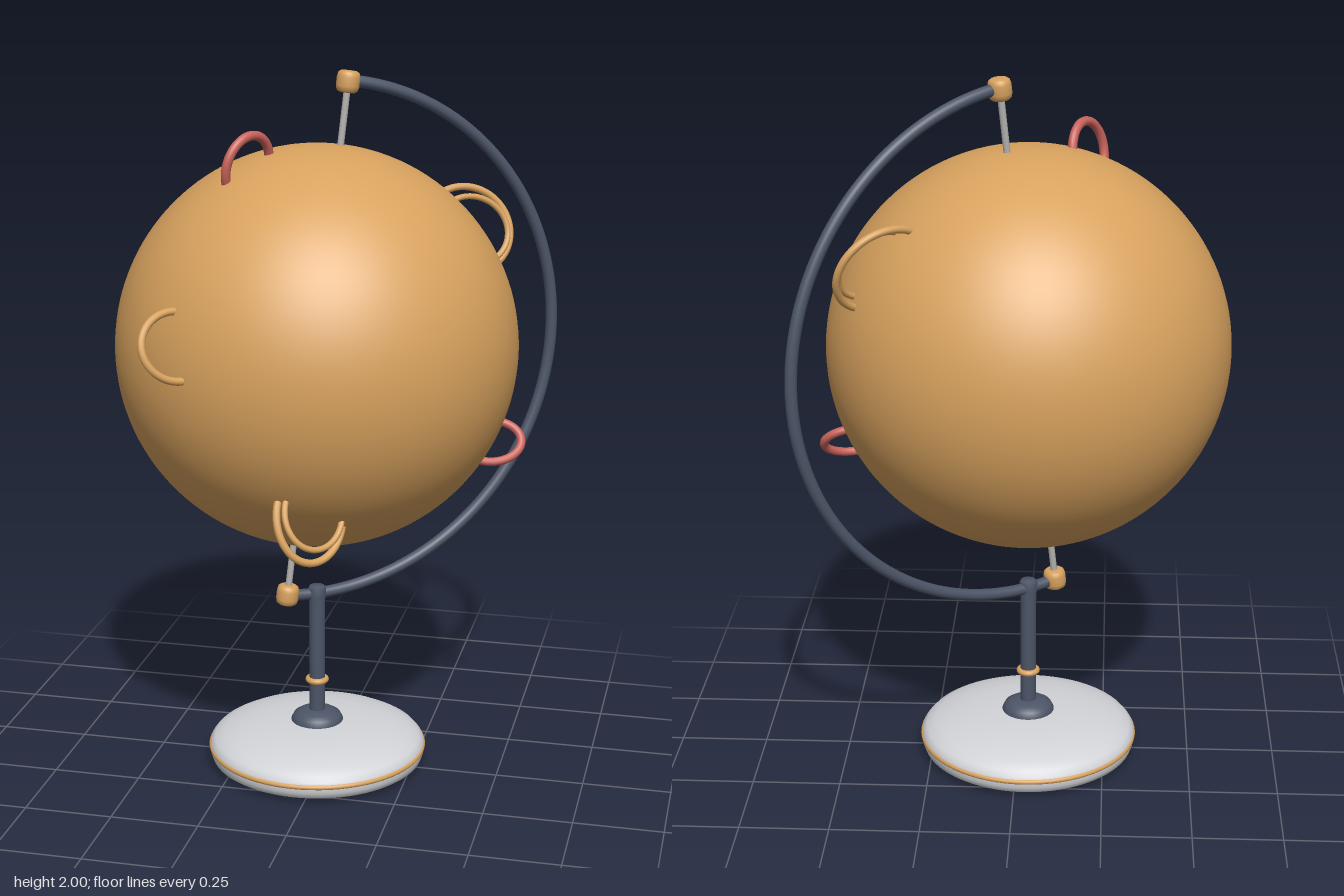
import * as THREE from 'three';

const mat = (name, color) => {
  const m = new THREE.MeshStandardMaterial({ color });
  m.name = name;
  return m;
};
const V = (x, y, z) => new THREE.Vector3(x, y, z);

export function createModel() {
  const gold = mat('gold', 0xd8a25e);
  const steel = mat('blueSteel', 0x4c5567);
  const silver = mat('silver', 0xd3d4d8);
  const pinGrey = mat('pinGrey', 0xb4b2b0);
  const red = mat('red', 0xc9625a);

  const model = new THREE.Group();
  model.name = 'globeOnStand';
  const add = (name, geometry, material, parent = model) => {
    const mesh = new THREE.Mesh(geometry, material);
    mesh.name = name;
    parent.add(mesh);
    return mesh;
  };
  const lathe = (pts, seg = 48) =>
    new THREE.LatheGeometry(pts.map(([r, y]) => new THREE.Vector2(r, y)), seg);

  const X = -0.03;
  const centre = V(X, 1.248, -0.003);
  const R = 0.733; // meridian arc radius
  const tilt = THREE.MathUtils.degToRad(7.2);
  const out = V(0.817, 0, -0.577).normalize(); // direction the arc bulges
  const onArc = (a) => centre.clone()
    .addScaledVector(out, R * Math.cos(a))
    .add(V(0, R * Math.sin(a), 0));

  // Globe
  add('globe', new THREE.SphereGeometry(0.558, 96, 64), gold).position.copy(centre);

  // Half ring arm
  const arcPts = [];
  for (let i = 0; i <= 48; i++) arcPts.push(onArc(Math.PI / 2 - tilt - Math.PI * i / 48));
  add('meridianArm', new THREE.TubeGeometry(new THREE.CatmullRomCurve3(arcPts), 120, 0.0165, 14), steel);

  // Tilted axle pins and end knobs
  const axle = new THREE.Group();
  axle.name = 'axle';
  axle.position.copy(centre);
  axle.quaternion.setFromUnitVectors(V(0, 1, 0), onArc(Math.PI / 2 - tilt).sub(centre).normalize());
  model.add(axle);
  const knob = [[0, -0.029], [0.022, -0.029], [0.029, -0.024], [0.032, -0.012], [0.032, 0.012],
    [0.029, 0.024], [0.022, 0.029], [0, 0.029]];
  for (const s of [1, -1]) {
    const side = s > 0 ? 'top' : 'bottom';
    add(side + 'Knob', lathe(knob, 32), gold, axle).position.y = s * (R - 0.003);
    add(side + 'Pin', new THREE.CylinderGeometry(0.0095, 0.0095, 0.2, 16), pinGrey, axle).position.y = s * 0.63;
  }

  // Post with collar and foot dome
  add('post', lathe([[0.023, 0.12], [0.023, 0.5], [0.026, 0.505], [0.026, 0.53], [0.021, 0.539], [0, 0.541]], 32), steel)
    .position.x = X;
  const collar = add('postCollar', new THREE.TorusGeometry(0.025, 0.009, 12, 40), gold);
  collar.rotation.x = Math.PI / 2;
  collar.position.set(X, 0.25, 0);
  add('postFoot', lathe([[0.076, 0.11], [0.075, 0.128], [0.068, 0.142], [0.052, 0.152], [0.03, 0.157], [0, 0.158]]), steel)
    .position.x = X;

  // Round base
  add('base', lathe([[0.296, 0.013], [0.306, 0.02], [0.311, 0.034], [0.313, 0.05], [0.31, 0.066], [0.298, 0.08],
    [0.27, 0.095], [0.22, 0.109], [0.16, 0.119], [0.08, 0.125], [0, 0.126]], 72), silver).position.x = X;
  const underside = add('baseUnderside', new THREE.CircleGeometry(0.296, 72), silver);
  underside.rotation.x = Math.PI / 2;
  underside.position.set(X, 0.013, 0);
  const trim = add('baseTrim', new THREE.TorusGeometry(0.308, 0.008, 12, 72), gold);
  trim.rotation.x = Math.PI / 2;
  trim.position.set(X, 0.053, 0);
  for (let i = 0; i < 8; i++) {
    const a = (i + 0.5) * Math.PI / 4;
    add('baseFoot', new THREE.CylinderGeometry(0.013, 0.011, 0.016, 16), silver)
      .position.set(X + 0.243 * Math.cos(a), 0.008, 0.243 * Math.sin(a));
  }

  // Half-ellipse loops rising from the globe: start, apex, end
  const loop = (name, material, radius, start, apex, end) => {
    const a = V(...start), b = V(...end);
    const mid = a.clone().add(b).multiplyScalar(0.5);
    const u = a.sub(mid), v = V(...apex).sub(mid);
    const pts = [];
    for (let i = -1; i <= 17; i++) {
      const t = Math.PI * i / 16;
      pts.push(mid.clone().addScaledVector(u, Math.cos(t)).addScaledVector(v, Math.sin(t)));
    }
    add(name, new THREE.TubeGeometry(new THREE.CatmullRomCurve3(pts), 48, radius, 12), material);
  };
  loop('topLoop', red, 0.013, [-0.23, 1.735, 0.197], [-0.188, 1.842, 0.16], [-0.145, 1.79, 0.07]);
  loop('sideLoop', red, 0.012, [0.474, 1.03, -0.108], [0.533, 0.968, -0.076], [0.435, 0.94, -0.02]);
  loop('frontLoop', gold, 0.0105, [-0.307, 1.433, 0.444], [-0.362, 1.355, 0.546], [-0.272, 1.262, 0.5]);
  loop('lowerLoopOuter', gold, 0.0105, [-0.028, 0.935, 0.461], [0.04, 0.785, 0.475], [0.12, 0.842, 0.35]);
  loop('lowerLoopInner', gold, 0.0085, [-0.006, 0.938, 0.464], [0.056, 0.824, 0.48], [0.124, 0.865, 0.374]);
  loop('upperLoopOuter', gold, 0.0105, [0.268, 1.642, -0.262], [0.425, 1.592, -0.358], [0.417, 1.437, -0.277]);
  loop('upperLoopInner', gold, 0.0085, [0.308, 1.628, -0.228], [0.432, 1.58, -0.318], [0.42, 1.46, -0.253]);

  return model;
}
